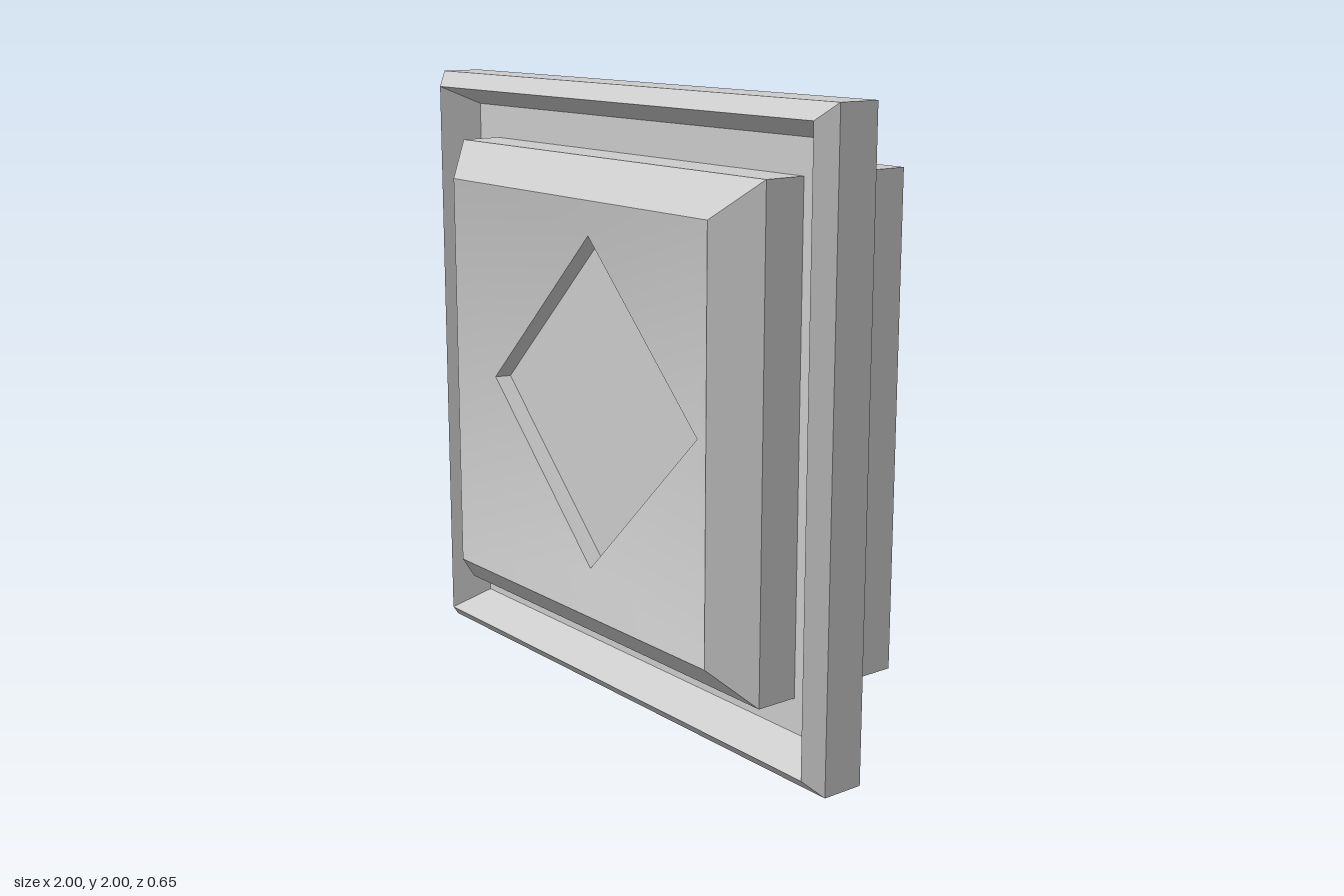
import * as THREE from 'three';

// Four corners in a z plane, counter-clockwise from the front; square or turned to a diamond
function ring(size, z, diamond = false) {
  const radius = diamond ? size : size * Math.SQRT2;
  const start = diamond ? -Math.PI / 2 : -Math.PI * 0.75;
  return [0, 1, 2, 3].map((k) => {
    const a = start + (k * Math.PI) / 2;
    return [radius * Math.cos(a), radius * Math.sin(a), z];
  });
}

// Flat-sided skin joining consecutive [size, z] rings
function loft(profile, diamond = false) {
  const rings = profile.map(([size, z]) => ring(size, z, diamond));
  const positions = [];
  for (let i = 0; i < rings.length - 1; i++) {
    for (let k = 0; k < 4; k++) {
      const n = (k + 1) % 4;
      const [a, b, c, d] = [rings[i][k], rings[i][n], rings[i + 1][n], rings[i + 1][k]];
      positions.push(...a, ...b, ...c, ...a, ...c, ...d);
    }
  }
  return toGeometry(positions);
}

function toGeometry(positions, index) {
  const geometry = new THREE.BufferGeometry();
  geometry.setAttribute('position', new THREE.Float32BufferAttribute(positions, 3));
  if (index) geometry.setIndex(index);
  geometry.computeVertexNormals();
  return geometry;
}

// Shallow dished panel running from a square rim down to a diamond opening
function dishedPanel(outer, outerZ, inner, innerZ) {
  const positions = [...ring(outer, outerZ), ...ring(inner, innerZ, true)].flat();
  const index = [];
  for (let k = 0; k < 4; k++) {
    const n = (k + 1) % 4;
    index.push(k, n, 4 + k, n, 4 + n, 4 + k);
  }
  return toGeometry(positions, index);
}

export function createModel() {
  const model = new THREE.Group();
  model.name = 'squareWallPanel';
  const material = new THREE.MeshStandardMaterial({ color: 0xcccccc, side: THREE.DoubleSide });

  const add = (name, geometry) => {
    const mesh = new THREE.Mesh(geometry, material);
    mesh.name = name;
    mesh.position.y = 1;
    model.add(mesh);
    return mesh;
  };

  const half = 0.78; // half width of the inner block and the rear sleeve
  const backZ = 0.005;
  const grooveZ = 0.07;
  const frontZ = 0.325;

  // Thin open sleeve behind the plate
  add('rearSleeve', loft([[half, -frontZ], [half, backZ]]));

  // Flat back of the plate
  const back = add('backPlate', new THREE.PlaneGeometry(2, 2));
  back.rotation.y = Math.PI;
  back.position.z = backZ;

  // Outer frame: side, chamfer, inner slope and groove floor
  add('outerFrame', loft([[1, backZ], [1, 0.145], [0.95, 0.195], [0.89, grooveZ], [half, grooveZ]]));

  // Raised block with a wide bevel
  add('raisedBlock', loft([[half, grooveZ], [half, 0.21], [0.665, frontZ]]));

  // Dished face and sunken diamond
  const rim = 0.54, rimZ = 0.255, floor = 0.525, floorZ = 0.205;
  add('dishedFace', dishedPanel(0.665, frontZ, rim, rimZ));
  add('diamondWall', loft([[rim, rimZ], [floor, floorZ]], true));
  add('diamondFloor', loft([[floor, floorZ], [0, floorZ]], true));

  return model;
}
